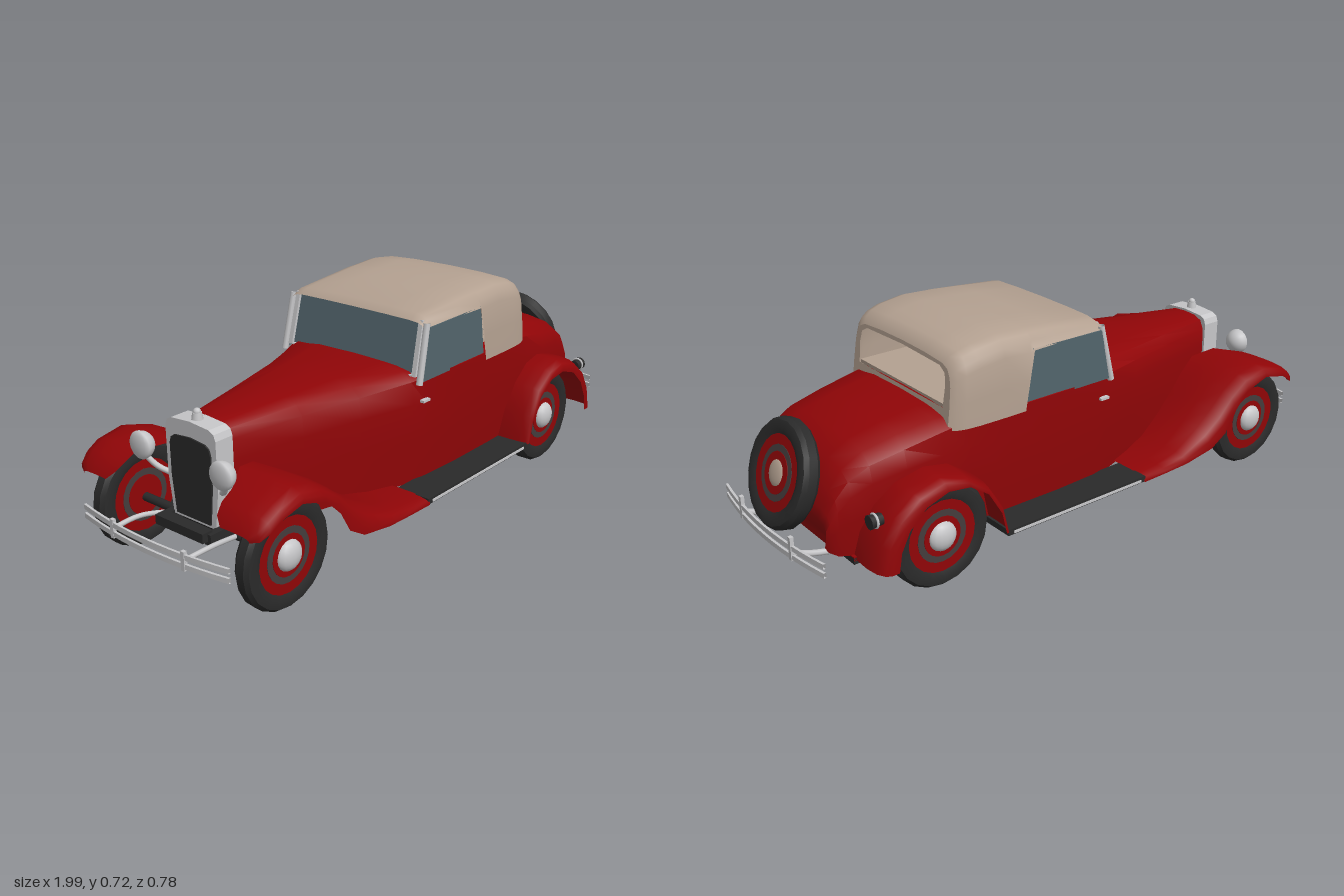
import * as THREE from 'three';
import { toCreasedNormals } from 'three/addons/utils/BufferGeometryUtils.js';

const mat = (name, color, side = THREE.FrontSide) =>
  Object.assign(new THREE.MeshStandardMaterial({ color, side }), { name });
const lerp = THREE.MathUtils.lerp;

// Skin a list of equal-length rows of [x, y, z] points
function loft(rows, capEnd = false, crease = 0.7) {
  const n = rows[0].length, idx = [];
  for (let i = 0; i < rows.length - 1; i++)
    for (let j = 0; j < n - 1; j++) {
      const a = i * n + j, b = a + n;
      idx.push(a, b, a + 1, a + 1, b, b + 1);
    }
  if (capEnd) {
    const o = (rows.length - 1) * n;
    for (let j = 1; j < n - 1; j++) idx.push(o, o + j + 1, o + j);
  }
  const g = new THREE.BufferGeometry();
  g.setAttribute('position', new THREE.Float32BufferAttribute(rows.flat(2), 3));
  g.setIndex(idx);
  g.computeVertexNormals();
  return toCreasedNormals(g, crease);
}

// Mirror a half outline [z, y] (ending on the centre line) into a full one
const mirror = (half) => [...half, ...half.slice(0, -1).reverse().map(([z, y]) => [-z, y])];
const toShape = (pts) => new THREE.Shape(pts.map(([a, b]) => new THREE.Vector2(a, b)));

export function createModel() {
  const car = new THREE.Group();
  car.name = 'roadster';
  const red = mat('red paint', 0x900507, THREE.DoubleSide);
  const tan = mat('tan canvas', 0xb4a191, THREE.DoubleSide);
  const silver = mat('chrome', 0xc6c6c8, THREE.DoubleSide);
  const black = mat('black rubber', 0x2a2a2a);
  const grey = mat('dark grey', 0x443c3c);
  const glass = mat('window glass', 0x53656c, THREE.DoubleSide);

  const add = (name, geo, material, x = 0, y = 0, z = 0, parent = car) => {
    const m = new THREE.Mesh(geo, material);
    m.name = name;
    m.position.set(x, y, z);
    parent.add(m);
    return m;
  };
  const box = (name, m, w, h, d, x, y, z, p) => add(name, new THREE.BoxGeometry(w, h, d), m, x, y, z, p);
  const tube = (name, m, pts, r, p) => add(name, new THREE.TubeGeometry(
    new THREE.CatmullRomCurve3(pts.map((q) => new THREE.Vector3(...q))), 16, r, 8), m, 0, 0, 0, p);

  // Body: [x, top, half width, shoulder squareness, bottom]; the tail tucks under at the end
  const bodyRows = [
    [-0.745, 0.495, 0.095, 0.2], [-0.5, 0.507, 0.155, 0.2], [-0.3, 0.516, 0.21, 0.2],
    [-0.12, 0.528, 0.272, 0.3], [-0.06, 0.512, 0.285, 0.9], [0.1, 0.508, 0.293, 1],
    [0.3, 0.508, 0.292, 1], [0.45, 0.52, 0.288, 0.6], [0.54, 0.517, 0.28, 0.2],
    [0.66, 0.5, 0.272, 0, 0.14], [0.77, 0.474, 0.26, 0, 0.15], [0.835, 0.432, 0.248, 0, 0.155],
    [0.875, 0.375, 0.24, 0, 0.165], [0.898, 0.32, 0.23, 0, 0.18], [0.906, 0.28, 0.22, 0, 0.195],
    [0.895, 0.235, 0.215, 0, 0.175], [0.86, 0.19, 0.22, 0, 0.155],
  ].map(([x, yt, w, q, yb = 0.135]) => mirror([
    [0.94, 0], [0.985, 0.4], [1, 0.7], [0.95 + 0.05 * q, 0.86], [0.8 + 0.1 * q, 0.95], [0.5, 0.99], [0, 1],
  ].map(([fz, fy]) => [w * fz, lerp(yb, yt, 1 - (1 - fy) * (fy < 0.8 ? 1 : 1 - 0.7 * q))]))
    .map(([z, y]) => [x, y, z]));
  add('body', loft(bodyRows, true), red);
  box('floor', red, 0.96, 0.014, 0.5, 0.36, 0.152, 0);
  box('engineTray', black, 0.64, 0.02, 0.2, -0.44, 0.15, 0);
  box('rearCrossMember', black, 0.12, 0.02, 0.5, 0.78, 0.145, 0);
  box('frontCrossMember', black, 0.04, 0.03, 0.2, -0.85, 0.19, 0);

  // Canvas roof: [x, top, half width, base, rearward lean]
  const roofHalf = ([, yt, w, base]) => {
    const d = Math.min(0.07, (yt - base) * 0.9);
    return [[w, base], [w * 0.997, lerp(base, yt - d, 0.5)], [w * 0.983, yt - d], [w * 0.955, yt - d * 0.6],
      [w * 0.9, yt - d * 0.28], [w * 0.8, yt - d * 0.12], [w * 0.45, yt - d * 0.03], [0, yt]];
  };
  const roof = [
    [-0.078, 0.672, 0.28, 0.654, 0], [-0.055, 0.694, 0.285, 0.655, 0], [0.12, 0.712, 0.29, 0.655, 0],
    [0.21, 0.72, 0.294, 0.655, 0], [0.216, 0.721, 0.297, 0.468, 0.12], [0.32, 0.726, 0.297, 0.468, 0],
    [0.41, 0.714, 0.295, 0.468, 0.02], [0.45, 0.702, 0.29, 0.468, 0.06],
    [0.475, 0.688, 0.281, 0.469, 0.1], [0.488, 0.668, 0.266, 0.47, 0.13],
  ];
  add('softTop', loft(roof.map((s) => mirror(roofHalf(s))
    .map(([z, y]) => [s[0] + s[4] * (s[1] - y), y, z])), false, 1), tan);

  // Rear panel with a real window opening, leaned to meet the roof
  const end = roof[roof.length - 1];
  const lean = (geo, x0, y0, k) => {
    geo.rotateY(Math.PI / 2);
    const p = geo.attributes.position;
    for (let i = 0; i < p.count; i++) p.setX(i, p.getX(i) + x0 + k * (p.getY(i) - y0));
    geo.computeVertexNormals();
    return geo;
  };
  const rearWindow = [[-0.232, 0.53], [0.232, 0.53], [0.236, 0.6], [0.228, 0.634], [0.2, 0.65], [0, 0.656],
    [-0.2, 0.65], [-0.228, 0.634], [-0.236, 0.6]];
  const panel = toShape(mirror(roofHalf(end)));
  panel.holes.push(toShape(rearWindow));
  add('rearPanel', lean(new THREE.ShapeGeometry(panel), end[0], end[1], -end[4]), tan);
  box('seatBack', tan, 0.03, 0.2, 0.46, 0.24, 0.6, 0);
  box('parcelShelf', tan, 0.26, 0.012, 0.52, 0.355, 0.52, 0);

  // Windscreen and its slim frame
  const screen = (s) => [[-0.27 * s, 0.5 + 0.08 * (1 - s)], [0.27 * s, 0.5 + 0.08 * (1 - s)],
    [0.265 * s, 0.675 - 0.08 * (1 - s)], [-0.265 * s, 0.675 - 0.08 * (1 - s)]];
  add('windscreen', lean(new THREE.ShapeGeometry(toShape(screen(0.97))), -0.1, 0.5, 0.24), glass);
  const frame = toShape(screen(1));
  frame.holes.push(toShape(screen(0.94)));
  add('windscreenFrame', lean(new THREE.ExtrudeGeometry(frame, { depth: 0.012, bevelEnabled: false }), -0.11, 0.5, 0.24), silver);

  // Radiator with dark grille and filler cap
  const arch = (w, y0, y1) => toShape(mirror([[w * 0.85, y0], [w, y0 + 0.12], [w, y1 - 0.035],
    [w * 0.93, y1 - 0.016], [w * 0.75, y1 - 0.006], [0, y1]]));
  const slab = (s, depth) => new THREE.ExtrudeGeometry(s, { depth, bevelEnabled: false }).rotateY(Math.PI / 2);
  add('radiatorShell', slab(arch(0.104, 0.19, 0.503), 0.066), silver, -0.806);
  add('radiatorGrille', slab(arch(0.084, 0.2, 0.455), 0.006), black, -0.811);
  add('radiatorCap', new THREE.CylinderGeometry(0.014, 0.018, 0.022, 12), silver, -0.775, 0.512);
  add('capKnob', new THREE.SphereGeometry(0.012, 10, 8), silver, -0.775, 0.524);

  // Wheel: axis along z, outer face towards +z
  const disc = (r, d) => new THREE.CylinderGeometry(r, r, d, 20).rotateX(Math.PI / 2);
  function wheel(name, hubMaterial, hubRadius, hubDepth) {
    const g = new THREE.Group();
    g.name = name;
    const profile = [[0.118, -0.024], [0.138, -0.031], [0.16, -0.027], [0.17, -0.014], [0.17, 0.014],
      [0.16, 0.027], [0.138, 0.031], [0.118, 0.024]].map((p) => new THREE.Vector2(...p));
    add('tyre', toCreasedNormals(new THREE.LatheGeometry(profile, 20).rotateX(Math.PI / 2), 0.6), black, 0, 0, 0, g);
    add('rimDisc', disc(0.124, 0.044), red, 0, 0, 0, g);
    add('rimRing', disc(0.086, 0.047), grey, 0, 0, 0, g);
    add('centreDisc', disc(0.065, 0.05), red, 0, 0, 0, g);
    add('hubCap', new THREE.SphereGeometry(hubRadius, 16, 10).scale(1, 1, hubDepth), hubMaterial, 0, 0, 0.022, g);
    car.add(g);
    return g;
  }
  for (const [end, x] of [['front', -0.757], ['rear', 0.585]]) {
    for (const s of [1, -1]) {
      const w = wheel(end + 'Wheel', silver, 0.048, 0.6);
      w.position.set(x, 0.172, 0.303 * s);
      w.rotation.y = s > 0 ? 0 : Math.PI;
    }
    add(end + 'Axle', new THREE.CylinderGeometry(0.014, 0.014, 0.56, 10).rotateX(Math.PI / 2), black, x, 0.165);
  }
  const spare = wheel('spareWheel', tan, 0.042, 0.25);
  spare.position.set(0.915, 0.355, 0);
  spare.rotation.set(0, Math.PI / 2, 0.34, 'ZYX');
  spare.scale.setScalar(0.98);

  // Fender: each station is [crown x, crown y, lip x, lip y, inner z, outer z]
  const fender = (stations) => loft(stations.map(([px, py, lx, ly, zi, zo = 0.388]) =>
    [[0, 0.1], [0.25, 0.02], [0.55, 0], [0.8, 0.1], [0.95, 0.32], [1, 0.6], [1, 1]]
      .map(([f, t]) => [lerp(px, lx, t), lerp(py, ly, t), lerp(zi, zo, f)])), false, 1.1);
  const frontFender = fender([
    [-0.93, 0.3, -0.925, 0.285, 0.24, 0.345], [-0.915, 0.325, -0.913, 0.29, 0.215, 0.372],
    [-0.885, 0.35, -0.885, 0.308, 0.203, 0.385],
    [-0.84, 0.373, -0.85, 0.33, 0.2], [-0.75, 0.39, -0.76, 0.35, 0.14], [-0.67, 0.37, -0.665, 0.32, 0.11],
    [-0.6, 0.33, -0.605, 0.26, 0.11], [-0.53, 0.275, -0.565, 0.19, 0.13], [-0.46, 0.225, -0.5, 0.15, 0.15],
    [-0.36, 0.168, -0.38, 0.13, 0.18], [-0.27, 0.15, -0.28, 0.126, 0.2], [-0.18, 0.146, -0.18, 0.124, 0.22],
  ]);
  const rearFender = fender([
    [0.375, 0.14, 0.395, 0.14], [0.4, 0.24, 0.412, 0.215], [0.455, 0.325, 0.46, 0.295],
    [0.53, 0.375, 0.525, 0.34], [0.61, 0.388, 0.6, 0.35], [0.7, 0.365, 0.675, 0.325],
    [0.77, 0.31, 0.735, 0.27], [0.815, 0.235, 0.765, 0.21], [0.835, 0.15, 0.775, 0.15],
  ].map((s) => [...s, 0.22, 0.391]));
  const sideGlass = new THREE.ExtrudeGeometry(toShape([[-0.1, 0.485], [-0.062, 0.655], [0.215, 0.66], [0.24, 0.485]]),
    { depth: 0.006, bevelEnabled: false });
  const bowl = new THREE.SphereGeometry(0.044, 16, 10, 0, Math.PI * 2, 0, Math.PI / 2).rotateZ(-Math.PI / 2);

  // Everything that comes in left and right pairs
  for (const s of [1, -1]) {
    const side = new THREE.Group();
    side.name = s > 0 ? 'leftSide' : 'rightSide';
    side.scale.z = s;
    car.add(side);
    add('frontFender', frontFender, red, 0, 0, 0, side);
    add('rearFender', rearFender, red, 0, 0, 0, side);
    box('runningBoard', black, 0.57, 0.02, 0.125, 0.1, 0.135, 0.323, side);
    box('runningBoardTrim', silver, 0.53, 0.008, 0.006, 0.1, 0.133, 0.386, side);
    add('sideWindow', sideGlass, glass, 0, 0, 0.284, side);
    tube('windscreenPost', silver, [[-0.109, 0.478, 0.286], [-0.066, 0.668, 0.28]], 0.011, side);
    box('doorHandle', silver, 0.035, 0.008, 0.016, -0.08, 0.42, 0.288, side);
    // Headlamp and its stalk
    add('headlampBowl', bowl, silver, -0.852, 0.4, 0.168, side);
    add('headlampLens', new THREE.SphereGeometry(0.044, 16, 8).scale(0.3, 1, 1), silver, -0.852, 0.4, 0.168, side);
    tube('headlampStalk', silver, [[-0.835, 0.365, 0.168], [-0.815, 0.33, 0.14], [-0.78, 0.3, 0.09]], 0.009, side);
    // Tail lamp
    add('tailLamp', new THREE.CylinderGeometry(0.022, 0.018, 0.04, 14).rotateZ(-Math.PI / 2), black, 0.81, 0.305, 0.33, side);
    add('tailLampRim', new THREE.TorusGeometry(0.021, 0.004, 6, 14).rotateY(Math.PI / 2), silver, 0.812, 0.305, 0.33, side);
    // Bumper irons and uprights
    tube('frontBumperIron', silver, [[-0.985, 0.19, 0.15], [-0.88, 0.19, 0.15], [-0.74, 0.16, 0.12]], 0.008, side);
    tube('rearBumperIron', silver, [[0.985, 0.185, 0.155], [0.92, 0.16, 0.155], [0.78, 0.13, 0.155]], 0.01, side);
    box('frontBumperClamp', silver, 0.012, 0.06, 0.014, -0.985, 0.19, 0.15, side);
    box('rearBumperClamp', silver, 0.012, 0.075, 0.014, 0.985, 0.2, 0.155, side);
    // Exhaust line and silencer
    tube('exhaustPipe', silver, [[-0.6, 0.13, 0.1], [0, 0.12, 0.16], [0.5, 0.122, 0.15], [0.8, 0.12, 0.115]], 0.009, side);
    add('silencer', new THREE.CapsuleGeometry(0.025, 0.06, 4, 10).rotateZ(Math.PI / 2), silver, 0.77, 0.123, 0.115, side);
    box('frontFrameRail', black, 0.2, 0.035, 0.025, -0.75, 0.18, 0.1, side);
    box('frameRail', black, 0.9, 0.02, 0.07, 0.33, 0.14, 0.16, side);
  }

  // Twin-bar bumpers
  for (const [name, d] of [['frontBumper', -1], ['rearBumper', 1]])
    for (const y of [0.174, 0.203]) {
      const rows = [];
      for (let i = 0; i <= 12; i++) {
        const z = -0.305 + i * 0.61 / 12, x = d * (0.997 - 0.32 * z * z);
        rows.push([[0, -1], [0, 1], [-1, 1], [-1, -1], [0, -1]].map(([a, b]) => [x + d * a * 0.008, y + b * 0.008, z]));
      }
      add(name, loft(rows), silver);
    }

  // Driveline
  add('differential', new THREE.SphereGeometry(0.045, 14, 10), silver, 0.585, 0.15);
  add('gearbox', new THREE.SphereGeometry(0.04, 14, 10).scale(1.8, 1, 1), silver, -0.42, 0.15);
  tube('driveShaft', black, [[-0.4, 0.135, 0], [0.585, 0.14, 0]], 0.014);
  return car;
}
